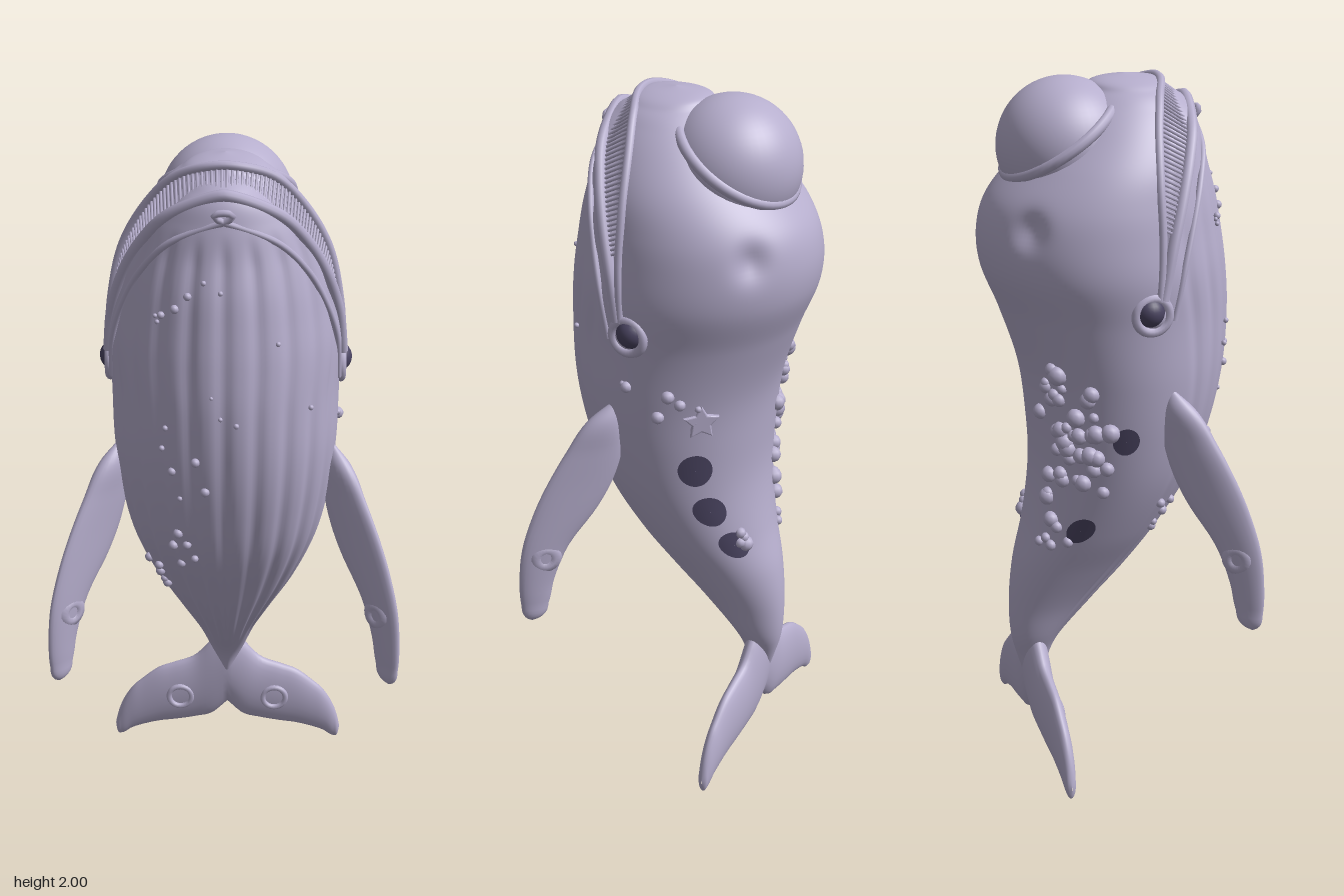
import * as THREE from 'three';

const skin = new THREE.MeshStandardMaterial({ color: 0xb6aecd });
skin.name = 'lilac skin';
const dark = new THREE.MeshStandardMaterial({ color: 0x4b4562, side: THREE.DoubleSide });
dark.name = 'dark violet';

// Body stations: height, half width, back z, front z
const STATIONS = [
  [0.2, 0.008, -0.24, -0.19], [0.3, 0.03, -0.27, -0.17], [0.36, 0.055, -0.285, -0.14],
  [0.47, 0.09, -0.29, -0.04], [0.6, 0.145, -0.275, 0.075], [0.73, 0.205, -0.24, 0.165],
  [0.9, 0.265, -0.215, 0.26], [1.05, 0.295, -0.22, 0.31], [1.2, 0.31, -0.24, 0.34],
  [1.37, 0.315, -0.295, 0.35], [1.5, 0.325, -0.345, 0.34], [1.6, 0.315, -0.35, 0.325],
  [1.68, 0.3, -0.325, 0.31], [1.77, 0.27, -0.25, 0.285], [1.85, 0.222, -0.17, 0.265],
  [1.92, 0.165, -0.1, 0.24], [1.96, 0.12, -0.05, 0.2], [1.99, 0.06, -0.01, 0.14], [2, 0, 0.06, 0.06],
];
// z of the lower and upper lip lines by height
const LOWER_LIP = [[1.45, 0.06], [1.58, 0.09], [1.7, 0.13], [1.79, 0.165], [1.87, 0.2], [1.93, 0.232]];
const UPPER_LIP = [[1.45, 0.05], [1.6, 0.06], [1.75, 0.065], [1.87, 0.085], [1.95, 0.115], [1.985, 0.15]];

function interpolator(rows) {
  const n = rows[0].length - 1;
  const f = new THREE.CubicInterpolant(rows.map((r) => r[0]), rows.flatMap((r) => r.slice(1)), n);
  return (y) => Array.from(f.evaluate(y));
}
const station = interpolator(STATIONS);
const lowerLipZ = interpolator(LOWER_LIP);
const upperLipZ = interpolator(UPPER_LIP);
const smooth = THREE.MathUtils.smoothstep;

// Plain body surface; angle t runs from the front towards +x
function surf(y, t, off = 0) {
  const [w, zb, zf] = station(y);
  return new THREE.Vector3((Math.max(w, 0) + off) * Math.sin(t), y,
    (zb + zf) / 2 + (Math.max((zf - zb) / 2, 0) + off) * Math.cos(t));
}
function angleAt(y, z, side = 1) {
  const [, zb, zf] = station(y);
  return side * Math.acos(THREE.MathUtils.clamp((2 * z - zb - zf) / (zf - zb), -1, 1));
}
const onBody = (y, z, side = 1, off = 0) => surf(y, angleAt(y, z, side), off);

// Throat pleats, mouth groove and back dents
function detailed(y, t) {
  const p = surf(y, t);
  let off = 0;
  const lo = lowerLipZ(y)[0], up = upperLipZ(y)[0];
  const throat = smooth(y, 0.4, 0.6) * (1 - smooth(y, 1.75, 1.85)) * (1 - smooth(Math.abs(t), 1.05, 1.3));
  off -= 0.008 * throat * Math.pow(Math.abs(Math.cos(t * 11)), 4);
  if (y > 1.5 && p.z > up && p.z < lo) off -= 0.03 * Math.sin(Math.PI * (p.z - up) / (lo - up));
  for (const s of [-1, 1]) {
    const d = p.distanceTo(new THREE.Vector3(0.19 * s, 1.63, -0.27));
    off -= 0.022 * Math.exp(-((d / 0.045) ** 2));
  }
  const scale = Math.min(1, station(y)[0] / 0.1);
  return surf(y, t, off * Math.max(scale, 0));
}

// Skin a list of closed rings
function loft(rings, flip = false) {
  const n = rings[0].length, index = [];
  for (let i = 0; i < rings.length - 1; i++) {
    for (let j = 0; j < n; j++) {
      const a = i * n + j, b = i * n + (j + 1) % n, c = b + n, d = a + n;
      if (flip) index.push(a, c, b, a, d, c);
      else index.push(a, b, c, a, c, d);
    }
  }
  const g = new THREE.BufferGeometry().setFromPoints(rings.flat());
  g.setIndex(index);
  g.computeVertexNormals();
  return g;
}
const ring = (n, f) => Array.from({ length: n }, (_, j) => f((j / n) * Math.PI * 2));

export function createModel() {
  const model = new THREE.Group();
  const add = (name, geo, mat = skin, pos = null) => {
    const m = new THREE.Mesh(geo, mat);
    m.name = name;
    if (pos) m.position.copy(pos);
    model.add(m);
    return m;
  };
  const V = (x, y, z) => new THREE.Vector3(x, y, z);
  const Z = V(0, 0, 1);

  // Body
  const rows = [];
  for (let i = 0; i <= 140; i++) {
    const y = 0.2 + 1.8 * Math.sin((Math.PI / 2) * (i / 140));
    rows.push(ring(200, (t) => detailed(y, t > Math.PI ? t - 2 * Math.PI : t)));
  }
  add('body', loft(rows));

  // Round dome on the head with its rim
  add('headDome', new THREE.SphereGeometry(0.185, 48, 32), skin, V(0, 1.815, -0.11));
  const rim = add('domeRim', new THREE.TorusGeometry(0.178, 0.016, 10, 56), skin, V(0, 1.845, -0.125));
  rim.quaternion.setFromUnitVectors(Z, V(0, 0.82, -0.57).normalize());

  // Lips, chin fold and baleen
  const lipCurve = (table, dz, dy) => {
    const half = (s) => table.map(([y, z]) => onBody(y + dy, z + dz, s));
    return new THREE.CatmullRomCurve3([...half(-1), ...half(1).reverse()]);
  };
  const upper = lipCurve(UPPER_LIP, 0, 0), lower = lipCurve(LOWER_LIP, 0, 0);
  add('upperLip', new THREE.TubeGeometry(upper, 100, 0.012, 8));
  add('lowerLip', new THREE.TubeGeometry(lower, 100, 0.016, 8));
  add('chinFold', new THREE.TubeGeometry(lipCurve(LOWER_LIP, 0.035, -0.06), 100, 0.009, 8));
  for (let i = 0; i < 76; i++) {
    const u = 0.14 + 0.72 * (i / 75);
    const a = upper.getPointAt(u), b = lower.getPointAt(u);
    const slat = add('baleen', new THREE.CylinderGeometry(0.004, 0.004, a.distanceTo(b), 5), skin,
      a.clone().add(b).multiplyScalar(0.5).add(V(0, -0.008, 0)));
    slat.quaternion.setFromUnitVectors(V(0, 1, 0), b.clone().sub(a).normalize());
  }

  // Flippers: height, inner and outer reach, half thickness
  const FLIPPER = [
    [0.52, 0.245, 0.25, 0.002], [0.53, 0.22, 0.265, 0.012], [0.58, 0.195, 0.277, 0.017],
    [0.65, 0.178, 0.278, 0.019], [0.76, 0.13, 0.265, 0.021], [0.87, 0.045, 0.228, 0.023],
    [0.95, 0, 0.19, 0.024], [1.05, -0.03, 0.13, 0.026], [1.14, -0.03, 0.065, 0.026], [1.19, -0.02, 0, 0.006],
  ];
  const flipperAt = interpolator(FLIPPER);
  for (const s of [-1, 1]) {
    const rings = [];
    for (let i = 0; i <= 44; i++) {
      const y = 0.52 + 0.67 * (0.5 - 0.5 * Math.cos(Math.PI * i / 44));
      const [u0, u1, th] = flipperAt(y);
      rings.push(ring(24, (t) => {
        const u = (u0 + u1) / 2 + ((u1 - u0) / 2) * Math.sin(t), v = th * Math.cos(t);
        return V(s * (0.3 + 0.69 * u - 0.72 * v), y, 0.1 + 0.72 * u + 0.69 * v);
      }));
    }
    const side = s > 0 ? 'left' : 'right';
    add(side + 'Flipper', loft(rings, s < 0));
    const scar = add(side + 'FlipperScar', new THREE.TorusGeometry(0.026, 0.024, 8, 20), skin,
      V(s * 0.438, 0.73, 0.244));
    scar.quaternion.setFromUnitVectors(Z, V(-0.72 * s, 0, 0.69).normalize());

    // Eyes
    add(side + 'EyeSocket', new THREE.SphereGeometry(0.058, 24, 16), skin, V(s * 0.275, 1.41, 0.035));
    add(side + 'Eyelid', new THREE.TorusGeometry(0.046, 0.014, 10, 28), skin, V(s * 0.317, 1.412, 0.03))
      .rotation.y = Math.PI / 2;
    add(side + 'Eye', new THREE.SphereGeometry(0.042, 24, 16), dark, V(s * 0.306, 1.42, 0.024));

    // Raised rings on the flukes
    add(side + 'FlukeScar', new THREE.TorusGeometry(0.036, 0.009, 8, 24), skin, V(s * 0.15, 0.165, -0.188));
  }

  // Tail flukes: x, lower and upper edge, half thickness
  const FLUKE = [
    [0, 0.135, 0.4, 0.04], [0.05, 0.087, 0.36, 0.037], [0.1, 0.073, 0.305, 0.033], [0.17, 0.06, 0.275, 0.03],
    [0.22, 0.053, 0.255, 0.028], [0.27, 0.04, 0.215, 0.025], [0.31, 0.025, 0.175, 0.022],
    [0.345, 0.004, 0.11, 0.016], [0.358, 0.012, 0.065, 0.01], [0.362, 0.035, 0.045, 0.001],
  ];
  const flukeAt = interpolator(FLUKE);
  const flukes = [];
  for (let i = -40; i <= 40; i++) {
    const x = 0.362 * Math.sin((Math.PI / 2) * (i / 40));
    const [y0, y1, th] = flukeAt(Math.abs(x));
    flukes.push(ring(24, (t) => V(x, (y0 + y1) / 2 + ((y1 - y0) / 2) * Math.cos(t), -0.217 + th * Math.sin(t))));
  }
  add('tailFlukes', loft(flukes));

  // Dark spots that hug the flanks: height, z, side, radius
  for (const [y, z, s, r] of [[1.0, -0.12, 1, 0.052], [0.855, -0.145, 1, 0.05], [0.73, -0.195, 1, 0.045],
    [0.76, -0.13, -1, 0.04], [1.05, -0.03, -1, 0.04]]) {
    const g = new THREE.RingGeometry(0.001, r, 28, 4), p = g.attributes.position;
    const t0 = angleAt(y, z, s), rad = station(y)[0];
    for (let i = 0; i < p.count; i++) {
      const q = surf(y + p.getY(i), t0 + p.getX(i) / rad, 0.004);
      p.setXYZ(i, q.x, q.y, q.z);
    }
    g.computeVertexNormals();
    add('spot', g, dark);
  }

  // Starfish on the flank
  const star = new THREE.Shape(ring(10, (t) => {
    const r = Math.round(t / (Math.PI / 5)) % 2 ? 0.022 : 0.045;
    return new THREE.Vector2(r * Math.sin(t), r * Math.cos(t));
  }));
  const starPos = onBody(1.16, -0.14, 1, 0);
  add('starfish', new THREE.ExtrudeGeometry(star, { depth: 0.006, bevelSize: 0.005, bevelThickness: 0.005 }),
    skin, starPos).quaternion.setFromUnitVectors(Z, V(starPos.x, 0, starPos.z - 0.05).normalize());

  // Barnacle clusters: height, angle, spread, count, size
  let seed = 7;
  const rnd = () => (seed = (seed * 16807) % 2147483647) / 2147483647;
  for (const [y, t, spread, count, size] of [[1.05, -2.35, 0.16, 24, 0.024], [0.82, -2.5, 0.12, 12, 0.022],
    [1.18, 2.1, 0.08, 6, 0.016], [1.15, -2.7, 0.1, 8, 0.024], [0.74, 2.6, 0.03, 4, 0.02],
    [1.2, -0.5, 0.14, 6, 0.011], [0.95, -0.4, 0.08, 5, 0.014], [0.78, -1.0, 0.05, 5, 0.013],
    [1.7, -0.4, 0.1, 6, 0.01], [1.27, 1.55, 0.02, 2, 0.014], [1.5, 0.4, 0.2, 6, 0.008]]) {
    for (let i = 0; i < count; i++) {
      const p = surf(y + (rnd() - 0.5) * 2 * spread, t + (rnd() - 0.5) * spread * 5, 0);
      add('barnacle', new THREE.SphereGeometry(size * (0.6 + 0.6 * rnd()), 10, 7), skin, p);
    }
  }
  return model;
}
